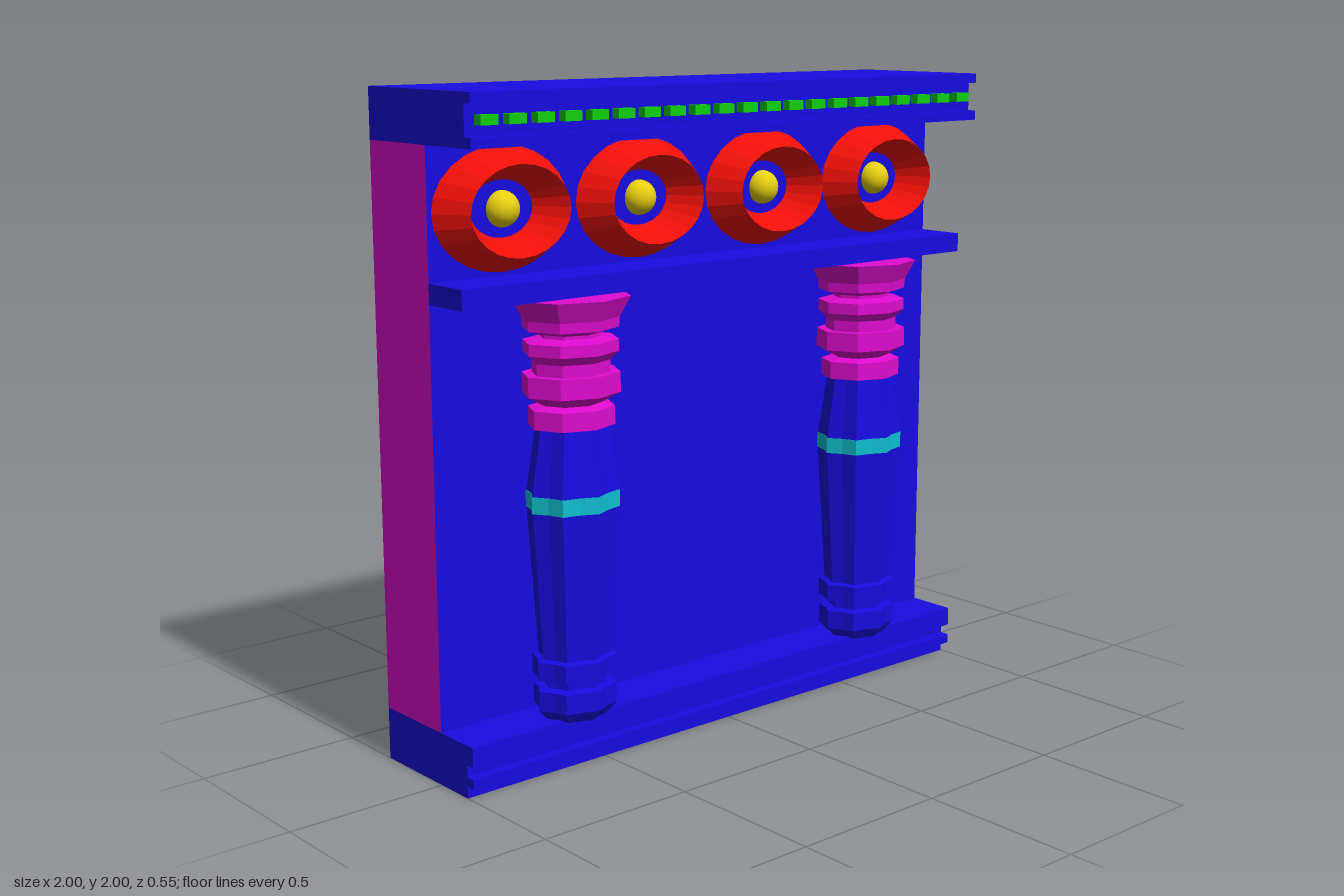
import * as THREE from 'three';

const mat = (color, flatShading = true) => new THREE.MeshStandardMaterial({ color, flatShading });
const blue = mat(0x180ce0), magenta = mat(0xe00cd0), red = mat(0xf01008);
const green = mat(0x10d010), cyan = mat(0x10c0d0), yellow = mat(0xe8d010, false);

function add(parent, name, geometry, material, x = 0, y = 0, z = 0) {
  const mesh = new THREE.Mesh(geometry, material);
  mesh.name = name;
  mesh.position.set(x, y, z);
  parent.add(mesh);
  return mesh;
}

// Moulding: a [z, y] outline run along the full width
function moulding(parent, name, outline) {
  const shape = new THREE.Shape(outline.map(([z, y]) => new THREE.Vector2(-z, y)));
  const geo = new THREE.ExtrudeGeometry(shape, { depth: 2, bevelEnabled: false });
  geo.translate(0, 0, -1).rotateY(Math.PI / 2);
  add(parent, name, geo, blue);
}

// Turned part from [radius, y] points; fluted parts alternate ridges and grooves
function turned(profile, fluted) {
  const pts = profile.map(([r, y]) => new THREE.Vector2(r, y));
  const geo = new THREE.LatheGeometry(pts, fluted ? 16 : 8);
  if (fluted) {
    const p = geo.attributes.position;
    for (let i = 0; i < p.count; i++) {
      if (Math.floor(i / pts.length) % 2 === 1) {
        p.setX(i, p.getX(i) * 0.88);
        p.setZ(i, p.getZ(i) * 0.88);
      }
    }
  }
  return geo;
}

function column() {
  const g = new THREE.Group();
  g.name = 'column';
  add(g, 'columnFoot', turned([
    [0, 0.155], [0.1, 0.155], [0.132, 0.19], [0.132, 0.25], [0.1, 0.255], [0.1, 0.28],
    [0.135, 0.285], [0.135, 0.34], [0.115, 0.345],
  ], true), blue);
  add(g, 'lowerShaft', turned([[0.115, 0.345], [0.145, 0.79]], true), blue);
  add(g, 'shaftBand', turned([[0.145, 0.79], [0.147, 0.79], [0.147, 0.84], [0.145, 0.84]], true), cyan);
  add(g, 'upperShaft', turned([[0.145, 0.84], [0.112, 1.04]], true), blue);
  add(g, 'capital', turned([
    [0, 1.035], [0.135, 1.035], [0.135, 1.09], [0.095, 1.1], [0.153, 1.13], [0.153, 1.19],
    [0.122, 1.19], [0.122, 1.225], [0.149, 1.25], [0.149, 1.285], [0.095, 1.295], [0.095, 1.305],
    [0.149, 1.32], [0.152, 1.35], [0.187, 1.41], [0, 1.41],
  ], false), magenta);
  return g;
}

export function createModel() {
  const model = new THREE.Group();
  model.name = 'colonnadePanel';

  // Wall slab with a differently coloured front
  add(model, 'wall', new THREE.BoxGeometry(2, 1.69, 0.28),
    [magenta, magenta, blue, blue, blue, magenta], 0, 1.005, -0.14);

  // Horizontal mouldings
  moulding(model, 'plinth', [
    [-0.28, 0], [0.13, 0], [0.13, 0.035], [0.16, 0.035], [0.16, 0.065],
    [0.13, 0.065], [0.13, 0.1], [0.16, 0.1], [0.16, 0.16], [-0.28, 0.16],
  ]);
  moulding(model, 'ledge', [[-0.02, 1.41], [0.16, 1.41], [0.16, 1.47], [-0.02, 1.47]]);
  moulding(model, 'cornice', [
    [-0.28, 1.85], [0.22, 1.85], [0.22, 1.88], [0.19, 1.88],
    [0.19, 1.97], [0.22, 1.97], [0.22, 2], [-0.28, 2],
  ]);

  // Row of small blocks in the cornice groove
  const block = new THREE.BoxGeometry(0.058, 0.028, 0.035);
  for (let i = 0; i < 21; i++) {
    add(model, 'dentil', block, green, -0.938 + i * 0.0938, 1.925, 0.2025);
  }

  // Oval ridged rings with a round stud in the middle
  const ring = new THREE.TorusGeometry(0.172, 0.064, 4, 24);
  ring.scale(1, 0.765, 1.56);
  const stud = new THREE.SphereGeometry(0.053, 20, 14);
  for (const x of [-0.75, -0.25, 0.25, 0.75]) {
    add(model, 'ovalRing', ring, red, x, 1.66, 0);
    add(model, 'stud', stud, yellow, x, 1.66, 0);
  }

  // Engaged columns, slightly flattened front to back
  for (const x of [-0.595, 0.592]) {
    const c = column();
    c.position.set(x, 0, 0.11);
    c.scale.z = 0.86;
    model.add(c);
  }
  return model;
}
